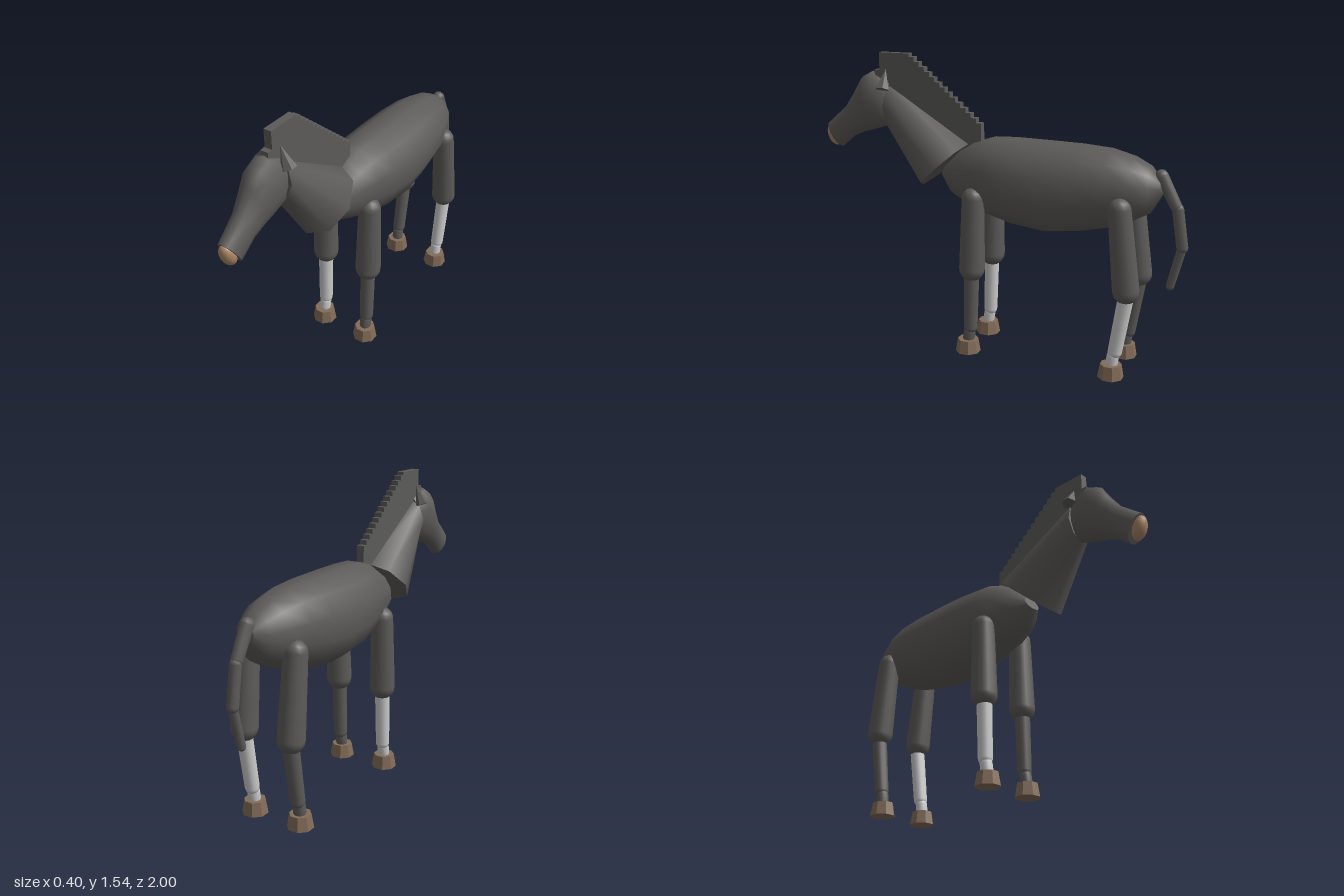
import * as THREE from 'three';

const mat = (color, flatShading = false) => new THREE.MeshStandardMaterial({ color, flatShading });
const coat = mat(0x5c5b59);
const coatFlat = mat(0x5c5b59, true);
const white = mat(0xcccccc);
const hoofMat = mat(0x826b57, true);
const noseMat = mat(0xa98564);

function add(parent, name, geometry, material) {
  const mesh = new THREE.Mesh(geometry, material);
  mesh.name = name;
  parent.add(mesh);
  return mesh;
}

// Skin over elliptical sections [topZ, topY, bottomZ, bottomY, halfWidth], ordered back to front
function loft(sections, sides, turn = 0) {
  const pos = [], index = [];
  const ring = ([tz, ty, bz, by, w]) => {
    for (let j = 0; j < sides; j++) {
      const a = ((j + turn) / sides) * Math.PI * 2, c = Math.cos(a) / 2;
      pos.push(Math.sin(a) * w, (ty + by) / 2 + c * (ty - by), (tz + bz) / 2 + c * (tz - bz));
    }
  };
  sections.forEach(ring);
  for (let i = 0; i < sections.length - 1; i++) {
    for (let j = 0; j < sides; j++) {
      const k = (j + 1) % sides, a = i * sides, b = a + sides;
      index.push(a + j, b + j, a + k, b + j, b + k, a + k);
    }
  }
  // Flat end caps with their own corners, so their rims stay sharp
  [sections[0], sections[sections.length - 1]].forEach((s, end) => {
    const start = pos.length / 3;
    ring(s);
    for (let j = 1; j < sides - 1; j++) {
      if (end) index.push(start, start + j + 1, start + j);
      else index.push(start, start + j, start + j + 1);
    }
  });
  const g = new THREE.BufferGeometry();
  g.setAttribute('position', new THREE.Float32BufferAttribute(pos, 3));
  g.setIndex(index);
  g.computeVertexNormals();
  return g;
}

// Tapered rod with rounded ends from point a to point b
function limb(parent, name, a, b, ra, rb, material, sides = 14) {
  const from = new THREE.Vector3(...a), to = new THREE.Vector3(...b);
  const length = from.distanceTo(to), points = [];
  for (let i = 0; i <= 5; i++) {
    const t = (i / 5) * Math.PI / 2;
    points.push(new THREE.Vector2(Math.sin(t) * ra, ra * (1 - Math.cos(t))));
  }
  for (let i = 0; i <= 5; i++) {
    const t = (i / 5) * Math.PI / 2;
    points.push(new THREE.Vector2(Math.cos(t) * rb, length - rb + rb * Math.sin(t)));
  }
  const mesh = add(parent, name, new THREE.LatheGeometry(points, sides), material);
  mesh.position.copy(from);
  mesh.quaternion.setFromUnitVectors(new THREE.Vector3(0, 1, 0), to.sub(from).normalize());
  return mesh;
}

// Upper leg, shin, pastern and hoof; joints are [y, z] pairs
function leg(name, x, hip, knee, fetlock, hoofZ, shinMat) {
  const g = new THREE.Group();
  g.name = name;
  g.position.x = x;
  limb(g, 'upperLeg', [0, knee[0] - 0.01, knee[1]], [0, ...hip], 0.067, 0.057, coat);
  limb(g, 'shin', [0, fetlock[0] - 0.02, fetlock[1]], [0, knee[0] + 0.06, knee[1]], 0.036, 0.039, shinMat);
  limb(g, 'pastern', [0, 0.045, hoofZ], [0, fetlock[0] + 0.02, fetlock[1]], 0.031, 0.031, shinMat);
  const hoof = add(g, 'hoof', new THREE.CylinderGeometry(0.054, 0.066, 0.07, 8), hoofMat);
  hoof.position.set(0, 0.035, hoofZ);
  hoof.rotation.y = Math.PI / 8;
  return g;
}

export function createModel() {
  const model = new THREE.Group();
  model.name = 'horse';

  // Barrel-shaped trunk
  add(model, 'body', loft([
    [-0.85, 1.0, -0.865, 0.93, 0.04],
    [-0.80, 1.06, -0.81, 0.83, 0.10],
    [-0.72, 1.10, -0.72, 0.78, 0.14],
    [-0.60, 1.13, -0.60, 0.735, 0.17],
    [-0.45, 1.14, -0.45, 0.70, 0.188],
    [-0.28, 1.143, -0.28, 0.68, 0.195],
    [-0.10, 1.145, -0.10, 0.70, 0.186],
    [0.02, 1.14, 0.02, 0.73, 0.168],
    [0.11, 1.11, 0.12, 0.765, 0.145],
    [0.19, 1.06, 0.23, 0.82, 0.11],
    [0.27, 0.98, 0.295, 0.91, 0.05],
  ], 12, 0.5), coat);

  // Tapering eight-sided neck
  add(model, 'neck', loft([
    [0.14, 1.10, 0.42, 0.85, 0.157],
    [0.60, 1.38, 0.62, 1.16, 0.08],
  ], 8), coat);

  // Head
  add(model, 'head', loft([
    [0.60, 1.39, 0.61, 1.17, 0.06],
    [0.705, 1.44, 0.62, 1.155, 0.086],
    [0.765, 1.41, 0.70, 1.13, 0.086],
    [0.81, 1.335, 0.77, 1.11, 0.073],
    [0.87, 1.25, 0.83, 1.085, 0.06],
    [0.99, 1.15, 0.91, 1.02, 0.054],
  ], 14), coat);
  const nose = add(model, 'nose', new THREE.SphereGeometry(1, 16, 12), noseMat);
  nose.scale.set(0.04, 0.062, 0.034);
  nose.position.set(0, 1.083, 0.963);
  nose.rotation.x = 0.35;

  // Ears leaning in over the poll
  for (const s of [-1, 1]) {
    const ear = add(model, s > 0 ? 'leftEar' : 'rightEar', new THREE.ConeGeometry(0.038, 0.11, 6), coatFlat);
    ear.position.set(s * 0.05, 1.405, 0.612);
    ear.rotation.z = s * 0.4;
  }

  // Stepped mane cut from one thin outline
  const steps = 21, z0 = 0.075, dz = 0.029;
  const mane = new THREE.Shape();
  const underside = (z) => 1.08 + Math.max(0, z - 0.13) * 0.6;
  mane.moveTo(z0, underside(z0));
  for (let i = 0; i < steps; i++) {
    const top = i > 19 ? 1.45 : Math.min(1.54, 1.205 + i * 0.0245);
    mane.lineTo(z0 + i * dz, top);
    mane.lineTo(z0 + (i + 1) * dz, top);
  }
  mane.lineTo(z0 + steps * dz, 1.39);
  mane.lineTo(0.6, 1.35);
  mane.lineTo(0.13, underside(0.13));
  const maneMesh = add(model, 'mane',
    new THREE.ExtrudeGeometry(mane, { depth: 0.04, bevelEnabled: false }), coat);
  maneMesh.rotation.y = -Math.PI / 2;
  maneMesh.position.x = 0.02;

  // Legs, one pale shin per pair
  for (const s of [-1, 1]) {
    const side = s > 0 ? 'left' : 'right';
    model.add(leg(side + 'FrontLeg', s * 0.135, [0.90, 0.07], [0.41, 0.08], [0.125, 0.09], 0.105, s > 0 ? coat : white));
    model.add(leg(side + 'HindLeg', s * 0.135, [0.925, -0.68], [0.41, -0.742], [0.125, -0.688], -0.675, s > 0 ? white : coat));
  }

  // Three-part hanging tail
  const tail = new THREE.Group();
  tail.name = 'tail';
  limb(tail, 'tailRoot', [0, 0.85, -0.94], [0, 1.045, -0.835], 0.03, 0.034, coat, 10);
  limb(tail, 'tailMiddle', [0, 0.645, -0.972], [0, 0.89, -0.932], 0.029, 0.029, coat, 10);
  limb(tail, 'tailTip', [0, 0.45, -0.915], [0, 0.69, -0.972], 0.021, 0.023, coat, 10);
  model.add(tail);

  return model;
}
